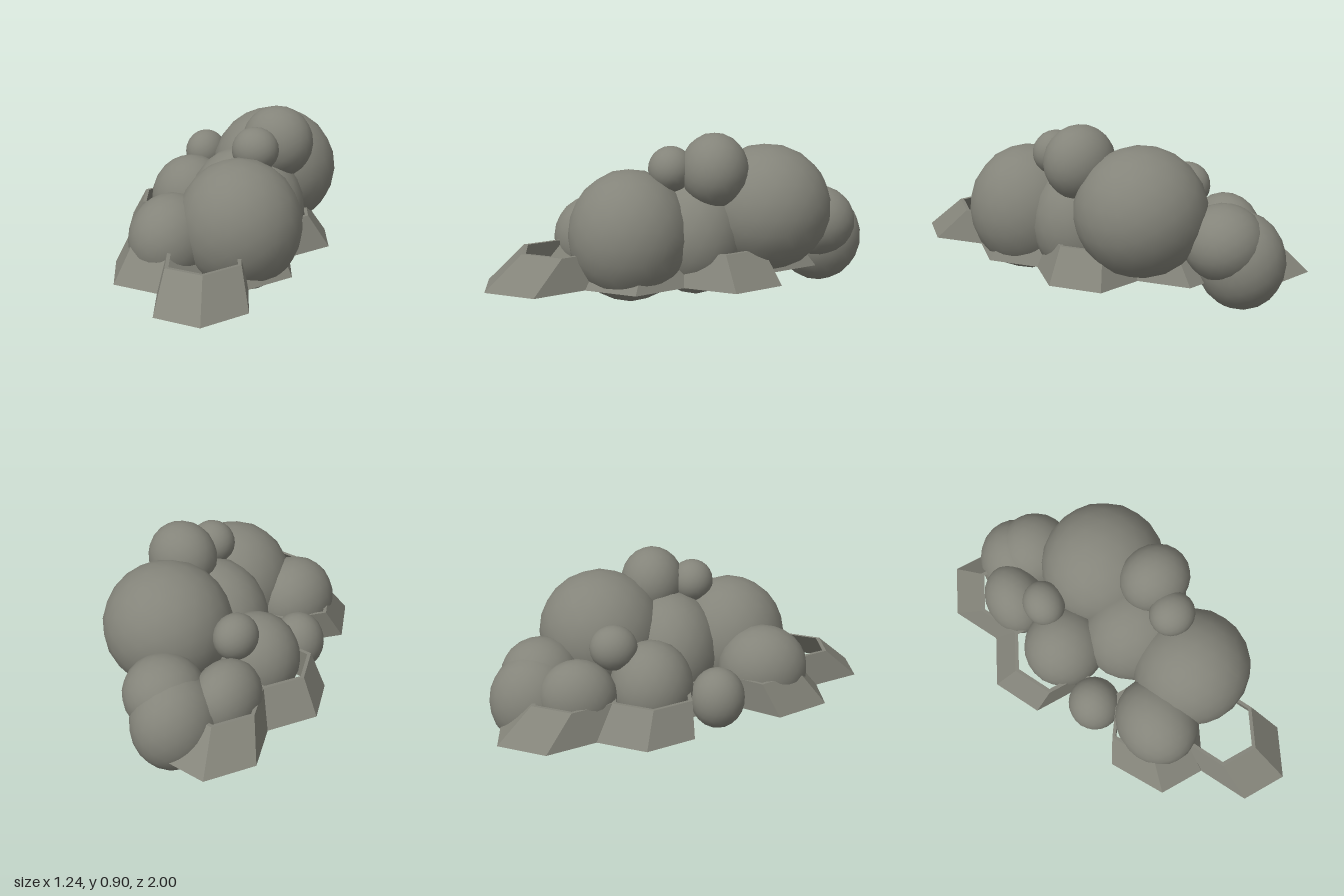
import * as THREE from 'three';

const material = new THREE.MeshStandardMaterial({ color: 0x84847a });
const RX = 0.241, RZ = 0.28;

// Outline of one honeycomb cell, slightly stretched along z
function hexPoints(cx, cz, scale) {
  const points = [];
  for (let i = 0; i < 6; i++) {
    const a = (i * Math.PI) / 3;
    points.push(new THREE.Vector2(
      cx + Math.cos(a) * RX * scale,
      -cz + Math.sin(a) * RZ * scale
    ));
  }
  return points;
}

// Open hexagonal ring, drawn in toward the model's centre at the top,
// with walls that thin out toward the bottom edge
function honeycombCell(cx, cz) {
  const bottom = 0.157, height = 0.167, taper = 0.82;
  const shape = new THREE.Shape(hexPoints(cx, cz, 1));
  shape.holes.push(new THREE.Path(hexPoints(cx, cz, 0.9)));
  const geometry = new THREE.ExtrudeGeometry(shape, { depth: height, bevelEnabled: false });
  geometry.rotateX(-Math.PI / 2);
  const p = geometry.attributes.position;
  for (let i = 0; i < p.count; i++) {
    let x = p.getX(i), z = p.getZ(i);
    const isTop = p.getY(i) > height / 2;
    const isHole = Math.hypot((x - cx) / RX, (z - cz) / RZ) < 0.95;
    if (isHole && !isTop) {
      x = cx + (x - cx) * 1.07;
      z = cz + (z - cz) * 1.07;
    }
    // The free corner on the front right reaches a little further out
    if (x > -0.3 && x < -0.2 && z > 0.4) {
      x -= 0.035;
      z -= 0.025;
    }
    const s = isTop ? taper : 1;
    p.setX(i, x * s);
    p.setZ(i, z * s);
  }
  geometry.translate(0, bottom, 0);
  geometry.computeVertexNormals();
  return new THREE.Mesh(geometry, material);
}

export function createModel() {
  const model = new THREE.Group();
  model.name = 'foliageCluster';

  // Honeycomb frame: three staggered columns of cells
  const frame = new THREE.Group();
  frame.name = 'honeycombFrame';
  const columns = [
    [-0.379, [-0.7, -0.215]],
    [-0.017, [-0.457, 0.027, 0.512]],
    [0.345, [-0.215, 0.27, 0.755]],
  ];
  for (const [x, zs] of columns) {
    for (const z of zs) {
      const cell = honeycombCell(x, z);
      cell.name = 'honeycombCell';
      frame.add(cell);
    }
  }
  model.add(frame);

  // Rounded lumps: centre x, y, z and radii x, y, z
  const lumps = [
    ['frontLargeLump', 0.307, 0.392, 0.287, 0.312, 0.331, 0.307],
    ['backLargeLump', 0.17, 0.495, -0.42, 0.333, 0.325, 0.33],
    ['topLump', 0.315, 0.715, -0.135, 0.187, 0.187, 0.17],
    ['topSmallLump', 0.29, 0.72, 0.08, 0.12, 0.115, 0.113],
    ['middleLump', 0.18, 0.371, -0.05, 0.31, 0.317, 0.268],
    ['rightLump', -0.21, 0.325, -0.17, 0.222, 0.238, 0.215],
    ['rightSmallLump', -0.223, 0.545, -0.36, 0.109, 0.117, 0.122],
    ['backRightLump', -0.315, 0.325, -0.545, 0.16, 0.193, 0.197],
    ['backLump', -0.085, 0.357, -0.738, 0.205, 0.193, 0.205],
    ['backLowLump', -0.178, 0.252, -0.768, 0.213, 0.248, 0.233],
    ['frontRightSmallLump', -0.22, 0.25, 0.17, 0.138, 0.162, 0.142],
    ['frontLump', 0.008, 0.317, 0.435, 0.213, 0.228, 0.238],
  ];
  const ball = new THREE.IcosahedronGeometry(1, 3);
  for (const [name, x, y, z, rx, ry, rz] of lumps) {
    const lump = new THREE.Mesh(ball, material);
    lump.name = name;
    lump.position.set(x, y, z);
    lump.scale.set(rx, ry, rz);
    model.add(lump);
  }
  return model;
}
